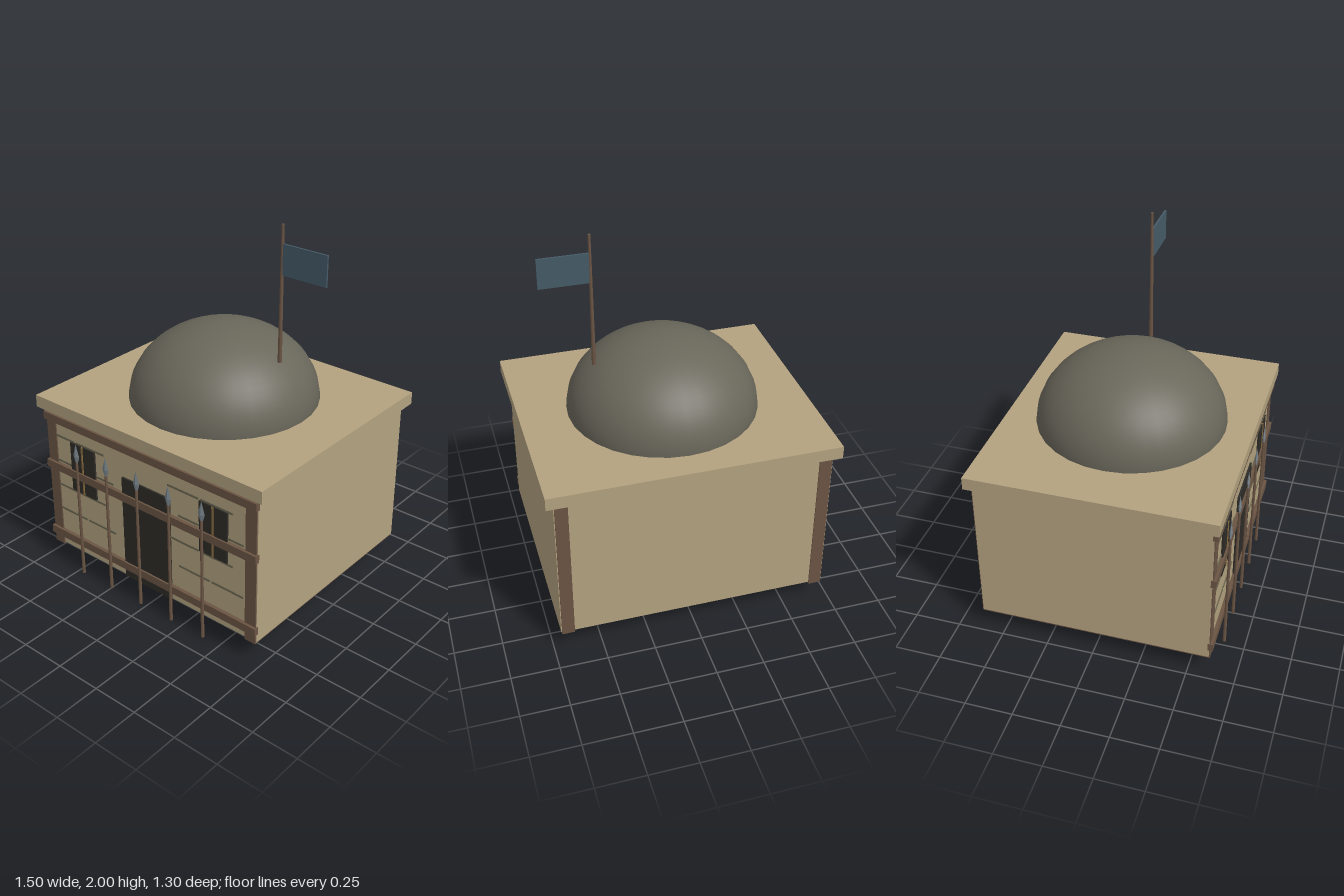
import * as THREE from 'three';

const mat = (color, flatShading = false) => new THREE.MeshStandardMaterial({ color, flatShading });

export function createModel() {
  const model = new THREE.Group();
  const sand = mat(0xb3a27f), wood = mat(0x6b5544), dark = mat(0x2e2c28);
  const mortar = mat(0x6e6853), domeGrey = mat(0x69665a), cloth = mat(0x455b68);
  const steel = mat(0x78848b, true), brass = mat(0x8f7142);

  const add = (name, geometry, material, x = 0, y = 0, z = 0) => {
    const mesh = new THREE.Mesh(geometry, material);
    mesh.name = name;
    mesh.position.set(x, y, z);
    model.add(mesh);
    return mesh;
  };
  // Box given by its extents on each axis
  const box = (name, material, x0, x1, y0, y1, z0, z1) =>
    add(name, new THREE.BoxGeometry(x1 - x0, y1 - y0, z1 - z0), material,
      (x0 + x1) / 2, (y0 + y1) / 2, (z0 + z1) / 2);

  // Main block and flat roof slab
  box('walls', sand, -0.71, 0.71, 0.11, 0.935, -0.612, 0.612);
  box('roofSlab', sand, -0.75, 0.75, 0.932, 1.0, -0.642, 0.642);

  // Dome
  const dome = add('dome',
    new THREE.SphereGeometry(0.5, 32, 16, 0, Math.PI * 2, 0, Math.PI / 2), domeGrey, 0, 1.0, 0);
  dome.scale.y = 0.8;

  // Corner timbers, running through from front to back
  for (const s of [-1, 1]) {
    const post = box('cornerTimber', wood, 0.64, 0.706, 0.10, 0.934, -0.617, 0.618);
    post.position.x *= s;
  }

  // Horizontal rails across the front
  for (const y of [0.18, 0.602, 0.892])
    box('frontRail', wood, -0.713, 0.713, y - 0.022, y + 0.022, 0.605, 0.632);

  // Door and windows
  box('door', dark, -0.162, 0.162, 0.11, 0.715, 0.6, 0.622);
  for (const s of [-1, 1]) {
    const pane = box('window', dark, 0.356, 0.531, 0.498, 0.786, 0.6, 0.623);
    const bar = box('windowBar', brass, 0.439, 0.449, 0.498, 0.786, 0.6, 0.627);
    pane.position.x *= s;
    bar.position.x *= s;
  }

  // Staggered mortar lines on either side of the door
  const rows = [[0.79, 0], [0.64, 1], [0.49, 0], [0.34, 1]];
  const starts = [[-0.705, -0.492, 0.148, 0.361], [-0.642, -0.43, 0.215, 0.428]];
  for (const [y, stagger] of rows)
    for (const x of starts[stagger])
      box('mortarLine', mortar, x, x + 0.2, y - 0.006, y + 0.006, 0.6, 0.617);

  // Spears standing along the front
  const shaftGeo = new THREE.CylinderGeometry(0.007, 0.009, 0.7, 8);
  const tipGeo = new THREE.LatheGeometry(
    [[0, -0.065], [0.022, 0], [0, 0.073]].map(([x, y]) => new THREE.Vector2(x, y)), 4);
  tipGeo.scale(1, 1, 0.4);
  for (let i = 0; i < 5; i++) {
    const x = -0.466 + i * 0.2143;
    add('spearShaft', shaftGeo, wood, x, 0.35, 0.644);
    add('spearTip', tipGeo, steel, x, 0.734, 0.644);
  }

  // Flagpole and flag
  add('flagPole', new THREE.CylinderGeometry(0.007, 0.011, 0.71, 8), wood, 0.355, 1.645, 0);
  box('flag', cloth, 0.358, 0.615, 1.748, 1.905, -0.005, 0.005);

  // Centre the depth, spears included
  for (const part of model.children) part.position.z -= 0.006;
  return model;
}
